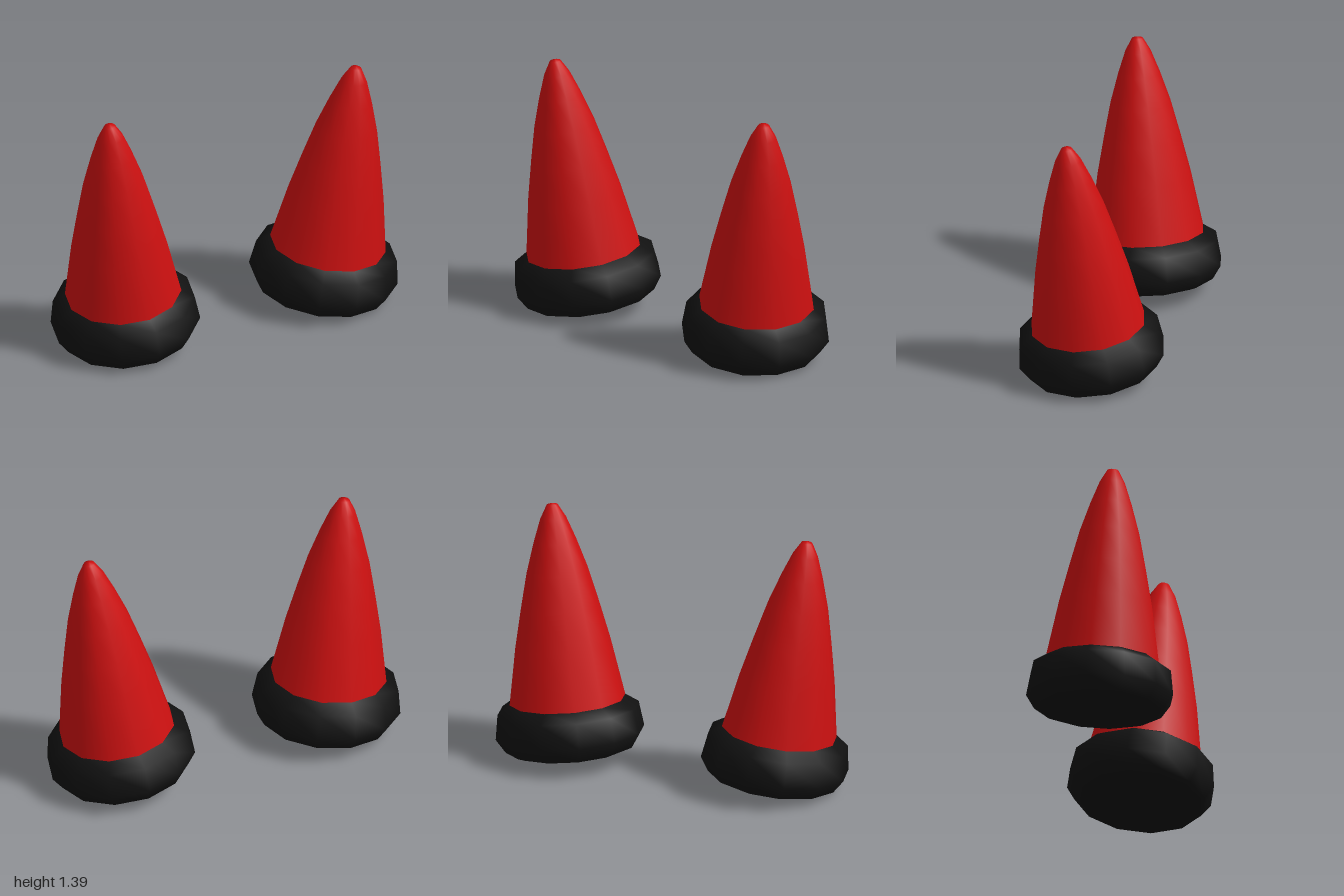
import * as THREE from 'three';

const SIDES = 12;
const lathe = (profile) =>
  new THREE.LatheGeometry(profile.map(([r, y]) => new THREE.Vector2(r, y)), SIDES);

const red = new THREE.MeshStandardMaterial({ color: 0xcc1010 });
const black = new THREE.MeshStandardMaterial({ color: 0x111111 });

function part(name, geometry, material) {
  const mesh = new THREE.Mesh(geometry, material);
  mesh.name = name;
  return mesh;
}

// One horn, upright around its own axis, origin at the middle of the collar
function createHorn(name) {
  const horn = new THREE.Group();
  horn.name = name;

  // Slightly bulging cone with a small rounded tip
  horn.add(part('hornCone', lathe([
    [0.315, 0.125], [0.258, 0.45], [0.212, 0.66], [0.166, 0.855], [0.115, 1.02],
    [0.07, 1.145], [0.03, 1.218], [0, 1.226],
  ]), red));

  // Chunky rounded collar
  horn.add(part('collar', lathe([
    [0.31, -0.137], [0.354, -0.12], [0.402, -0.045], [0.382, 0.09], [0.31, 0.139],
  ]), black));

  // Flat underside, with corners matching the collar
  const disc = new THREE.CircleGeometry(0.31, SIDES).rotateX(Math.PI / 2);
  disc.translate(0, -0.137, 0);
  horn.add(part('collarUnderside', disc, black));
  return horn;
}

export function createModel() {
  const model = new THREE.Group();
  model.name = 'hornPair';
  const up = new THREE.Vector3(0, 1, 0);

  // Mirrored pair, leaning outwards and forwards
  for (const side of [1, -1]) {
    const horn = createHorn(side > 0 ? 'leftHorn' : 'rightHorn');
    const axis = new THREE.Vector3(side * 0.117, 1, 0.08).normalize();
    horn.quaternion.setFromUnitVectors(up, axis);
    horn.position.set(side * 0.6, 0.178, 0);
    model.add(horn);
  }
  return model;
}
